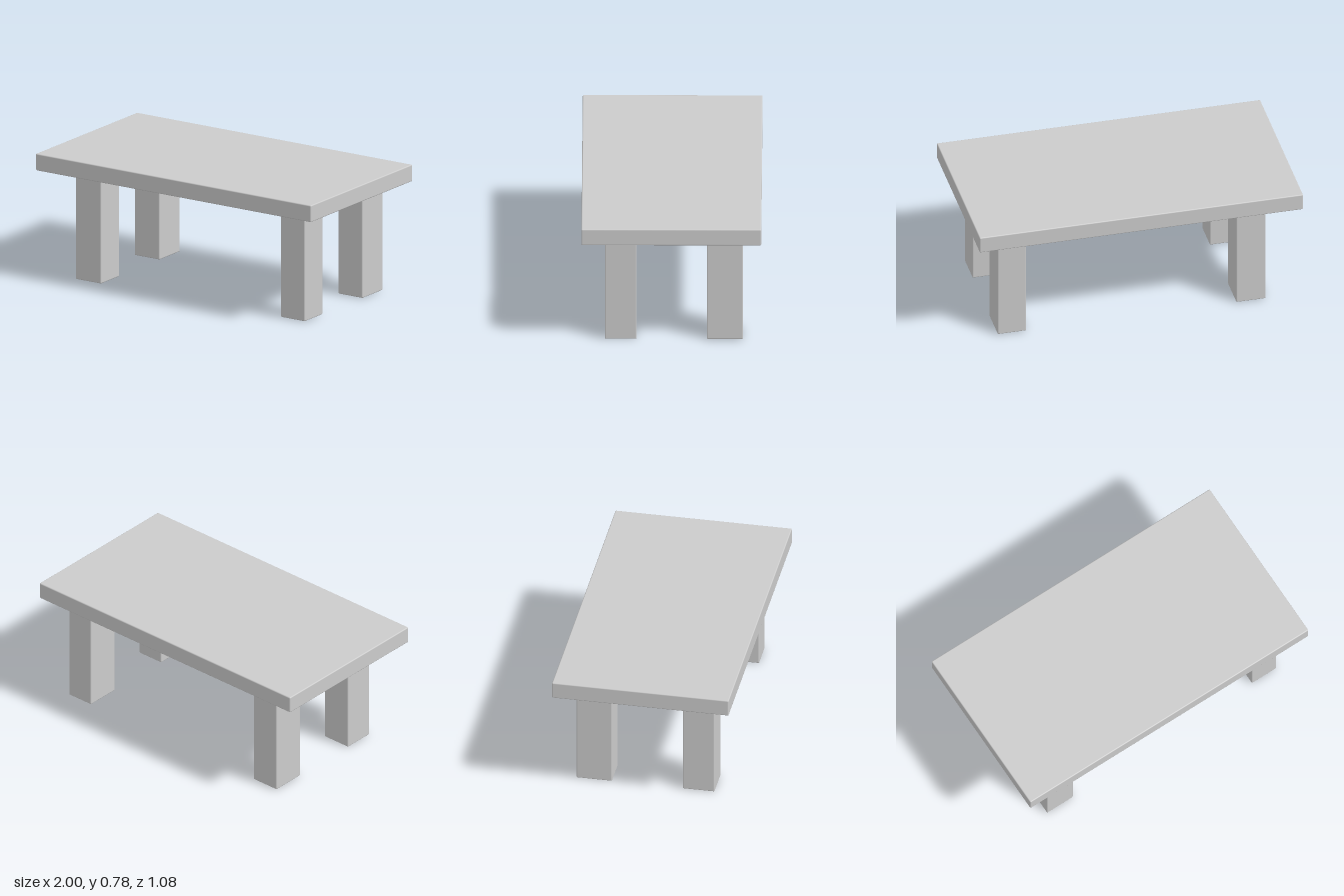
import * as THREE from 'three';
import { RoundedBoxGeometry } from 'three/addons/geometries/RoundedBoxGeometry.js';

const material = new THREE.MeshStandardMaterial({ color: 0xcccccc });

// A softly edged block spanning the given [min, max] ranges
function block(name, [x0, x1], [y0, y1], [z0, z1]) {
  const geometry = new RoundedBoxGeometry(x1 - x0, y1 - y0, z1 - z0, 2, 0.007);
  const mesh = new THREE.Mesh(geometry, material);
  mesh.position.set((x0 + x1) / 2, (y0 + y1) / 2, (z0 + z1) / 2);
  mesh.name = name;
  return mesh;
}

export function createModel() {
  const table = new THREE.Group();
  table.name = 'table';

  // Thick rectangular slab
  table.add(block('tableTop', [-1, 1], [0.675, 0.78], [-0.54, 0.54]));

  // Four stout legs, slightly uneven in size and placement
  const legs = {
    frontLeftLeg: [[0.685, 0.86], [0.209, 0.4]],
    frontRightLeg: [[-0.797, -0.61], [0.22, 0.415]],
    backLeftLeg: [[0.685, 0.862], [-0.43, -0.212]],
    backRightLeg: [[-0.796, -0.613], [-0.43, -0.212]],
  };
  for (const [name, [x, z]] of Object.entries(legs)) {
    table.add(block(name, x, [0, 0.69], z));
  }
  return table;
}
